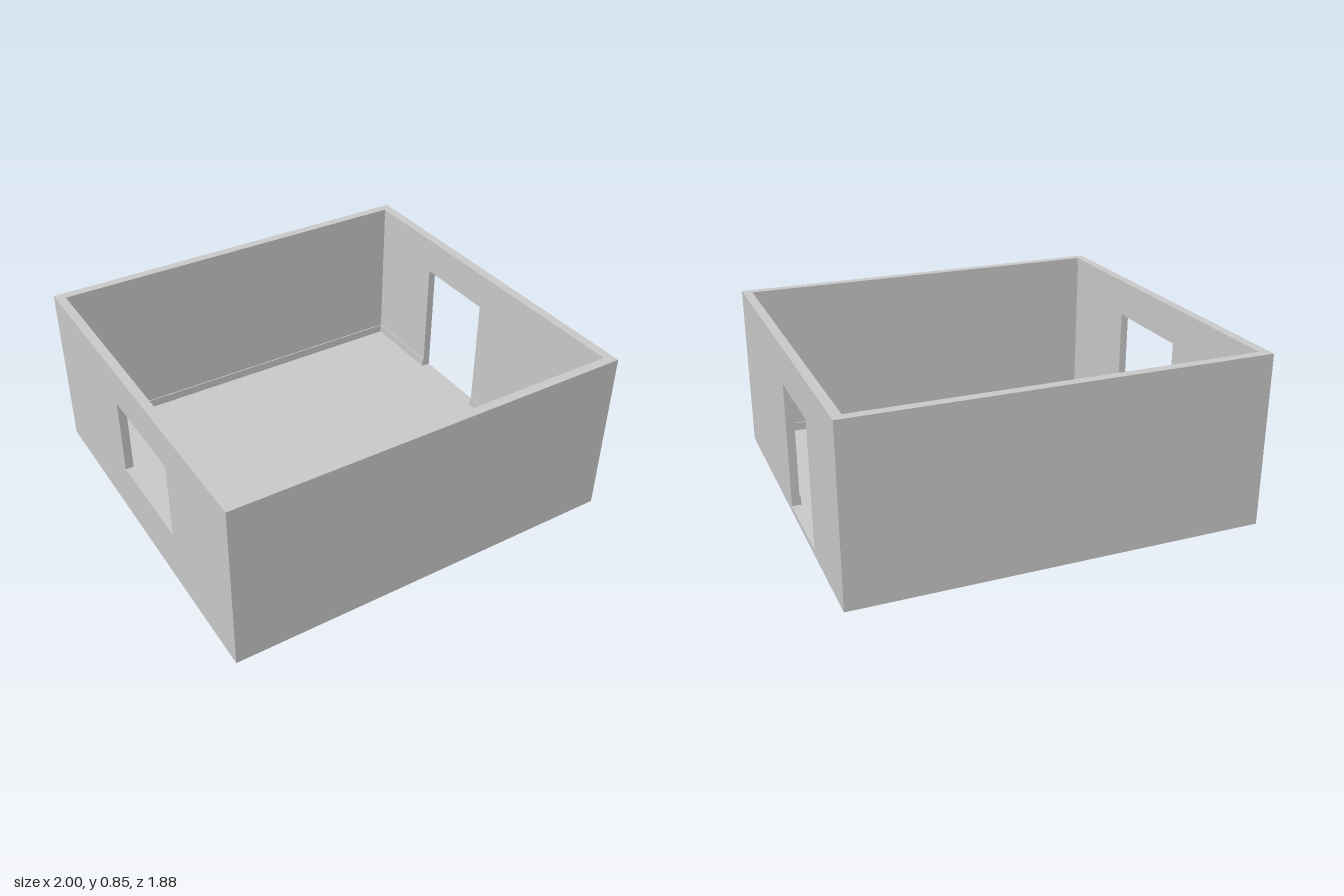
import * as THREE from 'three';

const W = 1, D = 0.94, H = 0.85;      // half width, half depth, height
const WALL = 0.04, FLOOR = 0.03, TRIM = 0.006;
const DOOR = { z0: -0.45, z1: 0, y0: FLOOR, y1: 0.66 };
const WINDOW = { z0: -0.18, z1: 0.355, y0: 0.27, y1: 0.66 };

const material = new THREE.MeshStandardMaterial({ color: 0xcccccc, flatShading: true });

function add(group, name, geometry) {
  const mesh = new THREE.Mesh(geometry, material);
  mesh.name = name;
  group.add(mesh);
  return mesh;
}

// Box given by its minimum and maximum corners
function box(group, name, x0, x1, y0, y1, z0, z1) {
  add(group, name, new THREE.BoxGeometry(x1 - x0, y1 - y0, z1 - z0))
    .position.set((x0 + x1) / 2, (y0 + y1) / 2, (z0 + z1) / 2);
}

// Wall along z with one rectangular opening, starting at x0
function openWall(group, name, x0, o) {
  const shape = new THREE.Shape();
  shape.moveTo(-D, FLOOR).lineTo(D, FLOOR).lineTo(D, H).lineTo(-D, H).closePath();
  const hole = new THREE.Path();
  hole.moveTo(-o.z1, o.y0).lineTo(-o.z1, o.y1).lineTo(-o.z0, o.y1).lineTo(-o.z0, o.y0).closePath();
  shape.holes.push(hole);
  const geometry = new THREE.ExtrudeGeometry(shape, { depth: WALL, bevelEnabled: false });
  geometry.rotateY(Math.PI / 2);      // shape x becomes -z, depth becomes +x
  add(group, name, geometry).position.x = x0;
}

export function createModel() {
  const room = new THREE.Group();
  room.name = 'room';
  const ix = W - WALL, iz = D - WALL; // inner wall faces

  box(room, 'floor', -W, W, 0, FLOOR, -D, D);

  // Walls: plain front and back, a door on the left, a window on the right
  box(room, 'frontWall', -ix, ix, FLOOR, H, iz, D);
  box(room, 'backWall', -ix, ix, FLOOR, H, -D, -iz);
  openWall(room, 'doorWall', ix, DOOR);
  openWall(room, 'windowWall', -W, WINDOW);

  // Thin trims round the inside: skirting interrupted by the door, crown flush with the top
  const trims = [
    { name: 'skirting', y0: FLOOR, y1: FLOOR + 0.045, runs: [[-iz, DOOR.z0], [DOOR.z1, iz]] },
    { name: 'crown', y0: H - 0.035, y1: H, runs: [[-iz, iz]] },
  ];
  for (const { name, y0, y1, runs } of trims) {
    box(room, name + 'Front', -ix, ix, y0, y1, iz - TRIM, iz);
    box(room, name + 'Back', -ix, ix, y0, y1, -iz, -iz + TRIM);
    box(room, name + 'Right', -ix, -ix + TRIM, y0, y1, -iz, iz);
    for (const [z0, z1] of runs) box(room, name + 'Left', ix - TRIM, ix, y0, y1, z0, z1);
  }
  return room;
}
